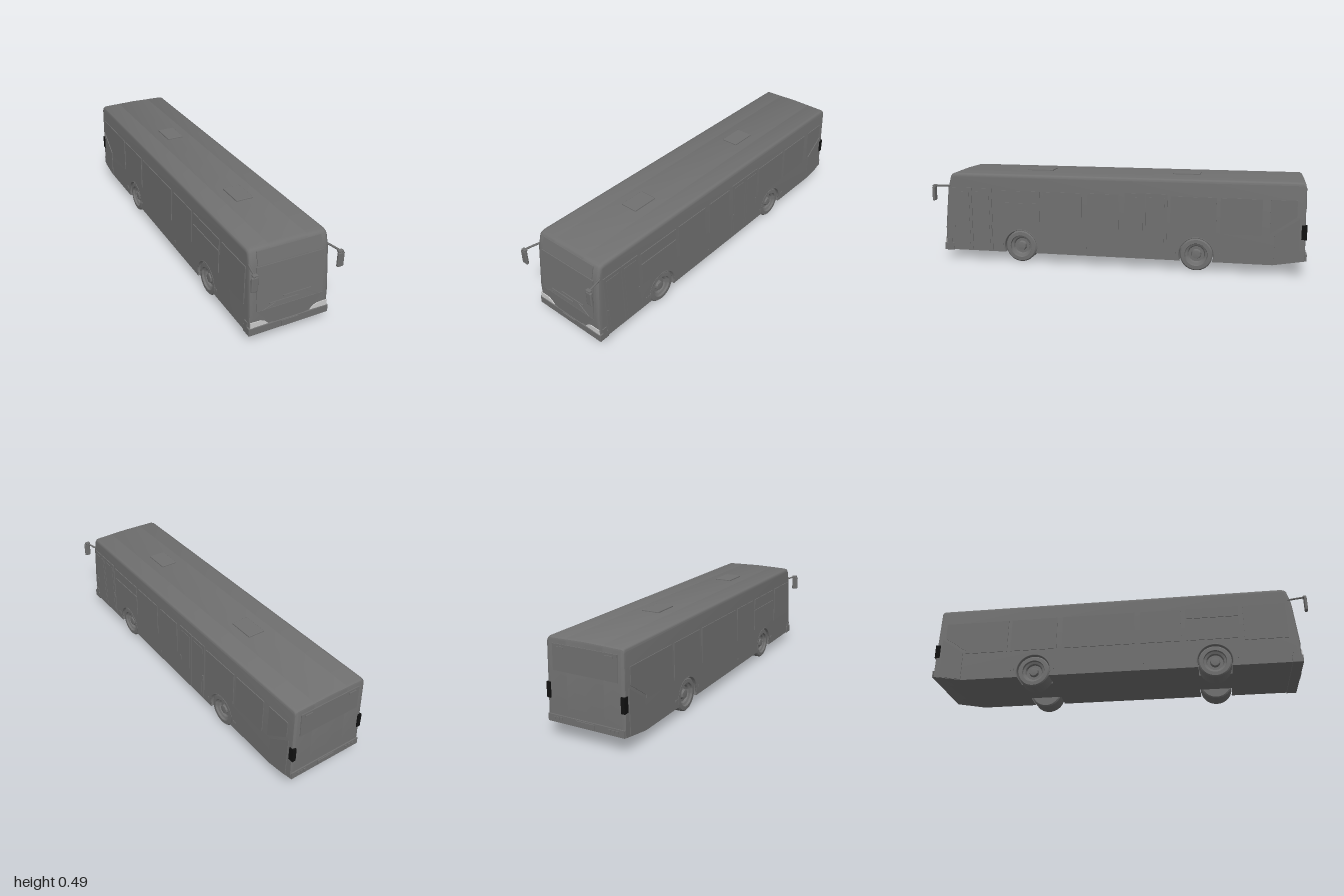
import * as THREE from 'three';
import { toCreasedNormals } from 'three/addons/utils/BufferGeometryUtils.js';
import { RoundedBoxGeometry } from 'three/addons/geometries/RoundedBoxGeometry.js';

const paint = new THREE.MeshStandardMaterial({ color: 0x707070 });
const lamp = new THREE.MeshStandardMaterial({ color: 0xcccccc });
const black = new THREE.MeshStandardMaterial({ color: 0x111111 });

const AXLES = [-0.44, 0.512], WHEEL_R = 0.085, ARCH_R = 0.092, FLOOR = 0.052, HALF = 0.209;
const clamp = THREE.MathUtils.clamp, lerp = THREE.MathUtils.mapLinear;

// Surface positions of the four walls at height y
const taper = y => 1 - 0.05 * (y - 0.05);
const frontZ = y => y < 0.175 ? 0.945 : y < 0.397 ? lerp(y, 0.175, 0.397, 0.945, 0.923) : lerp(y, 0.397, 0.468, 0.923, 0.905);
const rearZ = y => 0.99 - 0.028 * (y - 0.08);
const sideX = y => HALF * taper(y);

function moveVertices(geo, rule) {
  const p = geo.attributes.position, v = new THREE.Vector3();
  for (let i = 0; i < p.count; i++) {
    rule(v.fromBufferAttribute(p, i));
    p.setXYZ(i, v.x, v.y, v.z);
  }
  geo.computeVertexNormals();
  return geo;
}

function createModel() {
  const bus = new THREE.Group();
  bus.name = 'bus';
  const add = (name, geo, x = 0, y = 0, z = 0, mat = paint) => {
    const m = new THREE.Mesh(geo, mat);
    m.name = name;
    m.position.set(x, y, z);
    bus.add(m);
    return m;
  };
  const box = (name, w, h, d, x, y, z, mat) => add(name, new THREE.BoxGeometry(w, h, d), x, y, z, mat);

  // Side outline of the body, with or without wheel arches
  const archTail = Math.asin((WHEEL_R - FLOOR) / ARCH_R);
  function outline(arches) {
    const s = new THREE.Shape();
    s.moveTo(-0.99, 0.079);
    s.lineTo(-0.83, FLOOR);
    if (arches) for (const z of AXLES) s.absarc(z, WHEEL_R, ARCH_R, Math.PI + archTail, -archTail, true);
    for (const [z, y] of [[0.945, FLOOR], [0.945, 0.175], [0.923, 0.397], [0.905, 0.468], [0.897, 0.477],
      [0.88, 0.483], [-0.965, 0.483], [-0.976, 0.477], [-0.979, 0.468]]) s.lineTo(z, y);
    s.closePath();
    return s;
  }

  // Body slices: extruded across the bus, rounded near the outer layers, roof sloping gently to the sides
  const layers = [[0.1, 0], [0.19, 0], [0.197, 0.001], [0.203, 0.004], [0.2075, 0.009], [HALF, 0.016]];
  function bodySlice(name, shape, list) {
    const n = list.length - 1;
    const geo = new THREE.ExtrudeGeometry(shape, { depth: 1, steps: n, bevelEnabled: false, curveSegments: 20 });
    moveVertices(geo, v => {
      const [w, e] = list[Math.round(v.z * n)];
      const z = v.x, top = clamp((v.y - 0.44) / 0.028, 0, 1);
      v.y -= top * (e + 0.022 * Math.abs(w));
      v.z = z - (z > 0.85 ? 0.7 * e : z < -0.95 ? -0.25 * e : 0);
      v.x = -w * taper(v.y);
    });
    add(name, toCreasedNormals(geo, 0.6));
  }
  bodySlice('bodyCentre', outline(false), [-0.1, 0, 0.1].map(w => [w, 0]));
  bodySlice('bodyRight', outline(true), layers);
  bodySlice('bodyLeft', outline(true), layers.map(([w, e]) => [-w, e]).reverse());

  // Thin panel lying on a wall; points are (x or z, y)
  const walls = {
    front: [1, 0, v => { v.z += frontZ(v.y); }],
    back: [-1, Math.PI, v => { v.z -= rearZ(v.y); }],
    left: [-1, Math.PI / 2, v => { v.x += sideX(v.y); }],
    right: [1, -Math.PI / 2, v => { v.x -= sideX(v.y); }],
  };
  function panel(name, wall, pts, depth = 0.004, mat = paint) {
    const [sign, angle, rule] = walls[wall];
    const shape = new THREE.Shape(pts.map(([a, y]) => new THREE.Vector2(a * sign, y)));
    const geo = new THREE.ExtrudeGeometry(shape, { depth, bevelEnabled: false });
    add(name, moveVertices(geo.rotateY(angle), rule), 0, 0, 0, mat);
  }
  const rect = (a0, a1, y0, y1) => [[a0, y0], [a1, y0], [a1, y1], [a0, y1]];

  // Side windows
  const W0 = 0.205, W1 = 0.39;
  for (const [a, b] of [[0.17, 0.38], [-0.03, 0.135], [-0.54, -0.305], [-0.77, -0.56]]) panel('sideWindow', 'left', rect(a, b, W0, W1));
  for (const [a, b] of [[-0.82, -0.59], [-0.57, -0.32], [-0.29, 0.1], [0.13, 0.345]]) panel('sideWindow', 'right', rect(a, b, W0, W1));
  panel('driverWindow', 'right', rect(0.67, 0.89, 0.19, W1));
  for (const [wall, a, b] of [['left', 0.4, 0.65], ['right', 0.37, 0.645]]) {
    panel('splitWindowLower', wall, rect(a, b, W0, 0.325));
    panel('splitWindowUpper', wall, rect(a, b, 0.333, W1));
  }
  for (const wall of ['left', 'right']) {
    panel('rearQuarterWindow', wall, [[-0.81, 0.215], [-0.84, 0.235], [-0.94, 0.305], [-0.94, W1], [-0.81, W1]]);
    panel('engineDoor', wall, [[-0.835, 0.056], [-0.835, 0.212], [-0.955, 0.297], [-0.955, 0.076]]);
    for (const z of [0.63, 0.615, 0.145, -0.33, -0.55, -0.562]) panel('sideMarker', wall, rect(z - 0.003, z + 0.003, 0.09, 0.1));
  }

  // Two-leaf doors on the left side
  for (const [a, b] of [[0.67, 0.895], [-0.287, -0.063]]) {
    const mid = (a + b) / 2;
    for (const [p, q] of [[a, mid - 0.002], [mid + 0.002, b]]) {
      panel('doorLeaf', 'left', rect(p, q, 0.06, 0.4));
      panel('doorGlass', 'left', rect(p + 0.015, q - 0.015, 0.09, 0.38), 0.006);
    }
    for (const s of [-1, 1]) panel('doorHandle', 'left', rect(mid + s * 0.105 - 0.004, mid + s * 0.105 + 0.004, 0.18, 0.21), 0.008);
  }

  // Front: windscreen, destination panel, lower mask, wipers, lamps, bumper
  panel('windscreen', 'front', rect(-0.175, 0.175, 0.176, 0.395));
  panel('destinationPanel', 'front', rect(-0.167, 0.167, 0.403, 0.466));
  panel('frontMask', 'front', [[-0.175, 0.174], [-0.125, 0.118], [-0.083, 0.09], [0.083, 0.09], [0.125, 0.118], [0.175, 0.174]]);
  const wipers = [rect(-0.11, 0.04, 0.198, 0.203), rect(-0.04, 0.11, 0.217, 0.222),
    [[-0.147, 0.17], [-0.07, 0.195], [-0.07, 0.2], [-0.147, 0.175]], [[0.145, 0.174], [0.147, 0.178], [0.075, 0.219], [0.065, 0.219]]];
  for (const w of wipers) panel('wiper', 'front', w, 0.008);
  for (const s of [-1, 1]) {
    const outer = [[0.205, 0.09], [0.205, 0.12], [0.15, 0.118], [0.13, 0.11], [0.112, 0.092]];
    panel('headlight', 'front', outer.map(([x, y]) => [s * x, y]), 0.004, lamp);
    box('bumperEnd', 0.01, 0.03, 0.025, s * 0.208, 0.1, 0.918);
  }
  add('frontBumper', new RoundedBoxGeometry(0.426, 0.041, 0.055, 2, 0.003), 0, 0.0695, 0.924);
  box('frontPlate', 0.09, 0.026, 0.006, 0, 0.073, 0.953);

  // Rear: window, bumper, plate, lamps
  panel('rearWindow', 'back', rect(-0.172, 0.172, 0.325, 0.45));
  panel('rearBumper', 'back', rect(-0.207, 0.207, 0.08, 0.115), 0.006);
  panel('rearPlate', 'back', rect(-0.05, 0.05, 0.086, 0.11), 0.01);
  for (const s of [-1, 1]) {
    box('tailLight', 0.02, 0.075, 0.027, s * 0.2, 0.228, -0.979, black);
    for (const x of [0.13, 0.15, 0.17]) panel('rearReflector', 'back', rect(s * x - 0.006, s * x + 0.006, 0.095, 0.107), 0.01);
    panel('upperRearLamp', 'back', rect(s * 0.13 - 0.02, s * 0.13 + 0.02, 0.43, 0.44), 0.008);
  }

  // Roof hatches
  for (const z of [0.44, -0.37]) add('roofHatch', new RoundedBoxGeometry(0.092, 0.014, 0.142, 2, 0.003), 0, 0.482, z);

  // Mirrors on swept arms
  for (const s of [-1, 1]) {
    const arm = new THREE.CatmullRomCurve3([[0.2, 0.409, 0.9], [0.21, 0.409, 0.94], [0.219, 0.409, 0.985]]
      .map(([x, y, z]) => new THREE.Vector3(s * x, y, z)));
    add('mirrorArm', new THREE.TubeGeometry(arm, 12, 0.005, 8));
    add('mirrorBracket', new RoundedBoxGeometry(0.026, 0.011, 0.018, 2, 0.003), s * 0.218, 0.409, 0.99);
    add('mirrorHousing', new RoundedBoxGeometry(0.034, 0.077, 0.015, 3, 0.006), s * 0.221, 0.3665, 0.9925);
  }

  // Wheels, arch lips and axles
  const profile = [[0, -0.05], [0.078, -0.05], [WHEEL_R, -0.044], [WHEEL_R, 0.044], [0.079, 0.05], [0.06, 0.051], [0.057, 0.041],
    [0.046, 0.036], [0.041, 0.026], [0.026, 0.026], [0.022, 0.042], [0, 0.045]].map(([r, h]) => new THREE.Vector2(r, h));
  const wheelGeo = toCreasedNormals(new THREE.LatheGeometry(profile, 40), 0.5);
  const lipGeo = new THREE.TorusGeometry(ARCH_R, 0.003, 6, 32, Math.PI + 2 * archTail).rotateZ(-archTail).rotateY(Math.PI / 2);
  for (const z of AXLES) {
    for (const s of [-1, 1]) {
      add('wheel', wheelGeo, s * 0.151, WHEEL_R, z).rotation.z = -s * Math.PI / 2;
      add('archLip', lipGeo, s * 0.207, WHEEL_R, z);
    }
    add('axle', new THREE.CylinderGeometry(0.018, 0.018, 0.2, 12).rotateZ(Math.PI / 2), 0, WHEEL_R, z);
  }
  return bus;
}

export { createModel };
